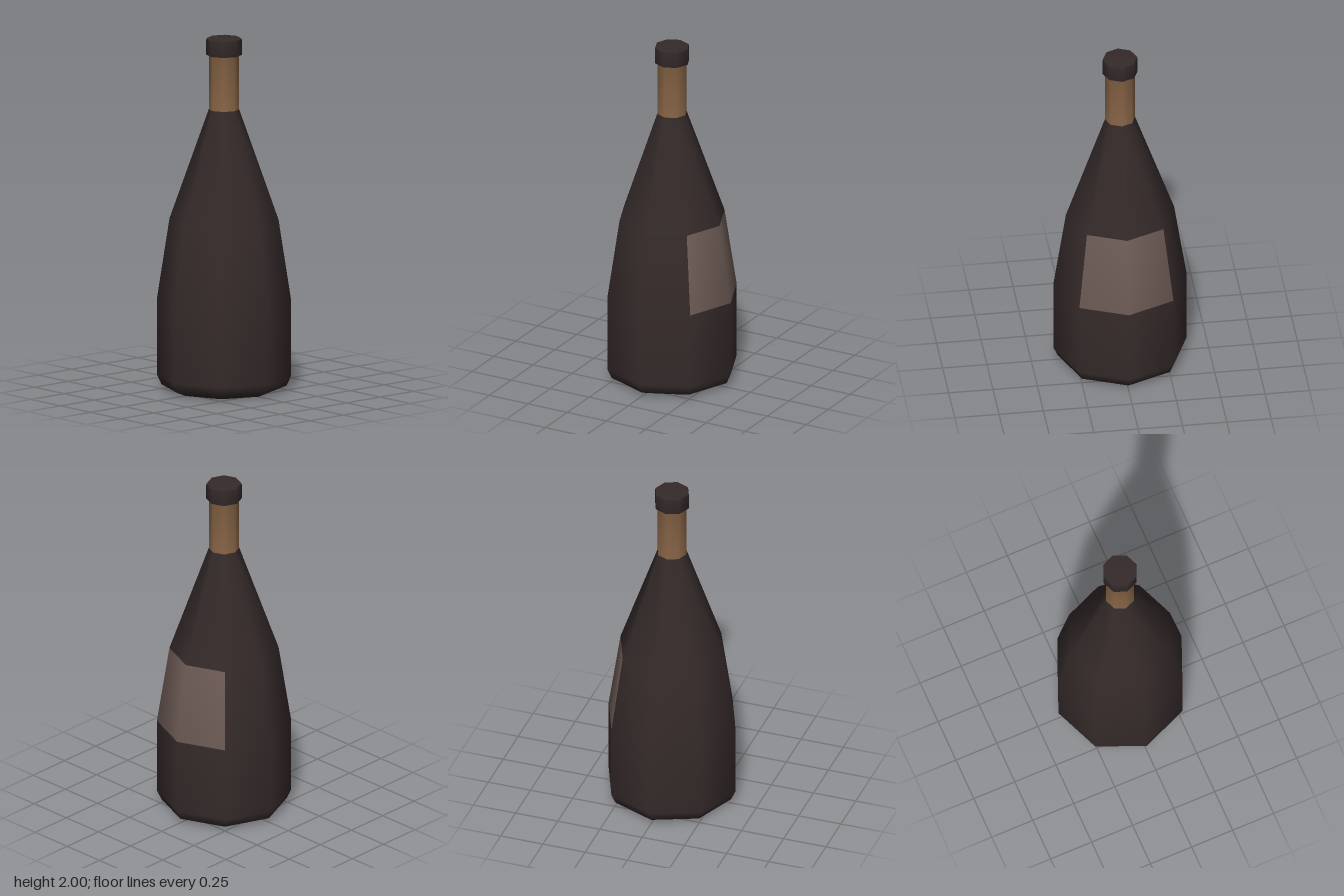
import * as THREE from 'three';

const SIDES = 8;

// Outline from the centre of the base up to the centre of the cap
const PROFILE = [
  [0, 0], [0.29, 0], [0.35, 0.025], [0.375, 0.08], // rounded base
  [0.375, 0.515], [0.305, 0.97], [0.085, 1.595],   // body and shoulder
  [0.085, 1.905],                                  // neck
  [0.1, 1.905], [0.1, 1.99], [0.095, 2], [0, 2],   // cap
].map(([r, y]) => new THREE.Vector2(r, y));

const LABEL_BAND = 4, NECK_BAND = 6;

export function createModel() {
  const group = new THREE.Group();
  group.name = 'bottle';

  const material = (name, color) => {
    const m = new THREE.MeshStandardMaterial({ color });
    m.name = name;
    return m;
  };
  const darkGlass = material('dark glass', 0x352a2a);
  const paper = material('label paper', 0x6d5b55);
  const amber = material('amber neck', 0x805f42);

  // One smooth octagonal lathe, whose faces are shared out between the parts
  const lathe = new THREE.LatheGeometry(PROFILE, SIDES);
  const bands = PROFILE.length - 1;

  const addPart = (name, mat, picks) => {
    const index = [];
    for (let side = 0; side < SIDES; side++) {
      for (let band = 0; band < bands; band++) {
        if (!picks(side, band)) continue;
        const start = (side * bands + band) * 6;
        for (let k = 0; k < 6; k++) index.push(lathe.index.getX(start + k));
      }
    }
    const geometry = new THREE.BufferGeometry();
    geometry.setAttribute('position', lathe.getAttribute('position'));
    geometry.setAttribute('normal', lathe.getAttribute('normal'));
    geometry.setIndex(index);
    const mesh = new THREE.Mesh(geometry, mat);
    mesh.name = name;
    group.add(mesh);
  };

  // The label covers the two sides that meet on +x
  const onLabel = (side, band) => band === LABEL_BAND && (side === 1 || side === 2);

  addPart('body', darkGlass, (side, band) => band < NECK_BAND && !onLabel(side, band));
  addPart('label', paper, onLabel);
  addPart('neck', amber, (side, band) => band === NECK_BAND);
  addPart('cap', darkGlass, (side, band) => band > NECK_BAND);

  return group;
}
